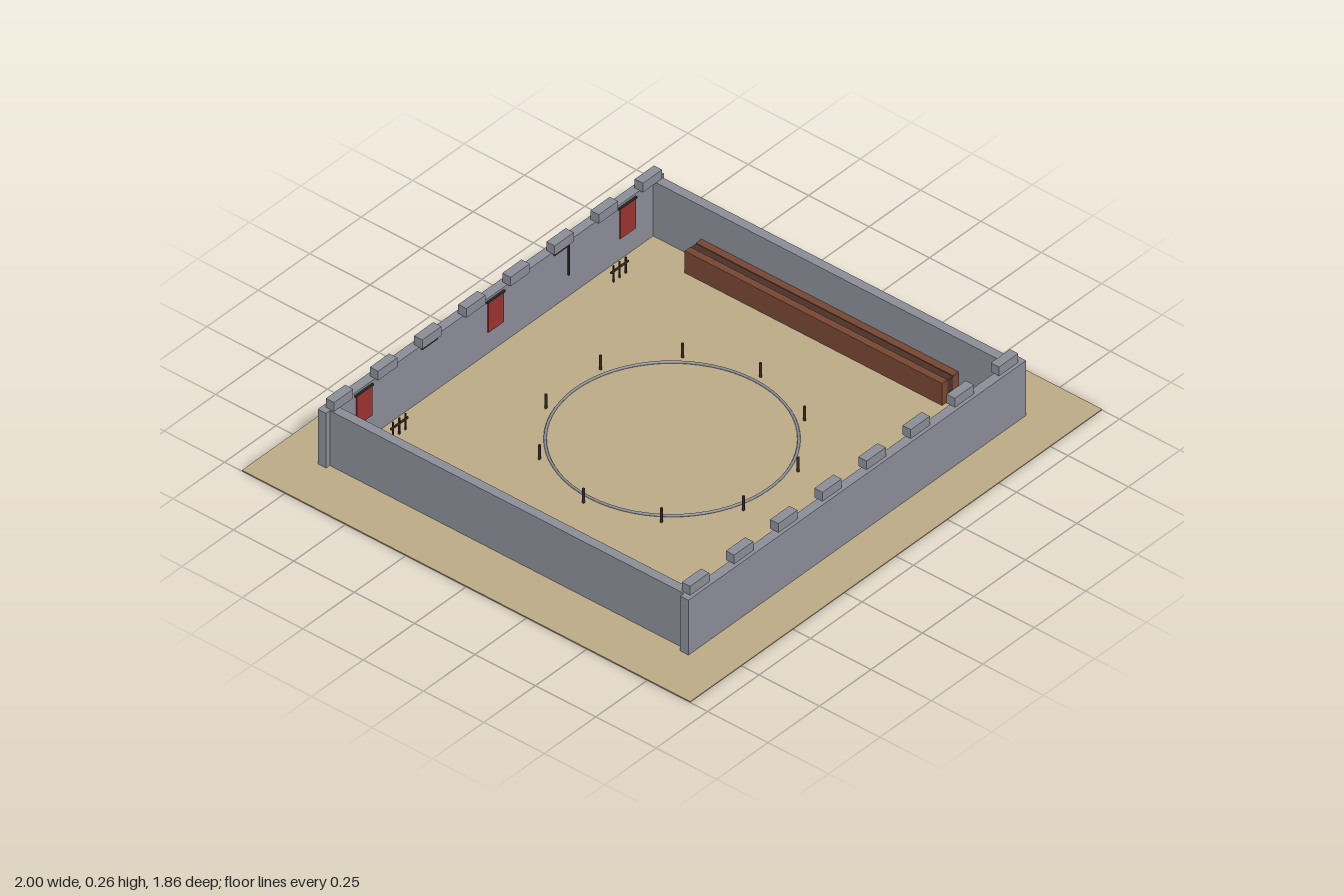
import * as THREE from 'three';

const mat = (name, color) => {
  const m = new THREE.MeshStandardMaterial({ color });
  m.name = name;
  return m;
};

export function createModel() {
  const root = new THREE.Group();
  root.name = 'trainingYard';
  const sand = mat('sand', 0xbcaa85);
  const stone = mat('stone', 0x8a8c96);
  const wood = mat('wood', 0x754632);
  const darkWood = mat('darkWood', 0x4a3026);
  const door = mat('doorWood', 0x7f522f);
  const iron = mat('darkIron', 0x352a26);
  const red = mat('redCloth', 0x9a3230);

  const group = (name, x = 0, y = 0, z = 0, parent = root) => {
    const g = new THREE.Group();
    g.name = name;
    g.position.set(x, y, z);
    parent.add(g);
    return g;
  };
  // Box given by its size and the centre of its base
  const box = (name, m, w, h, d, x, y, z, parent = root) => {
    const mesh = new THREE.Mesh(new THREE.BoxGeometry(w, h, d), m);
    mesh.name = name;
    mesh.position.set(x, y + h / 2, z);
    parent.add(mesh);
    return mesh;
  };

  // Ground
  box('ground', sand, 2, 0.004, 1.856, 0, 0, 0);

  // Walls, with battlements along the front and back
  for (const s of [-1, 1]) {
    box(s > 0 ? 'frontWall' : 'backWall', stone, 1.64, 0.218, 0.034, 0, 0.003, s * 0.75);
    box(s > 0 ? 'leftWall' : 'rightWall', stone, 0.034, 0.218, 1.5, s * 0.785, 0.003, 0);
    const battlements = group(s > 0 ? 'frontBattlements' : 'backBattlements');
    for (let i = 0; i < 8; i++) {
      box('merlon', stone, 0.093, 0.036, 0.034, -0.75 + i * 1.5 / 7, 0.22, s * 0.737, battlements);
    }
  }

  // Long benches along the side walls
  for (const s of [-1, 1]) {
    const bench = group(s > 0 ? 'leftBench' : 'rightBench');
    box('frontBoard', wood, 0.027, 0.088, 1.065, s * 0.7, 0.003, 0, bench);
    box('middleBoard', darkWood, 0.027, 0.085, 1.065, s * 0.727, 0.003, 0, bench);
    box('backBoard', wood, 0.027, 0.088, 1.065, s * 0.754, 0.003, 0, bench);
  }

  // Ring marking the fighting circle
  const ring = new THREE.Mesh(new THREE.TorusGeometry(0.4, 0.005, 6, 64), stone);
  ring.name = 'arenaRing';
  ring.rotation.x = -Math.PI / 2;
  ring.position.y = 0.007;
  root.add(ring);

  // Posts around the ring
  const posts = group('ringPosts');
  for (let i = 0; i < 10; i++) {
    const a = i * Math.PI / 5;
    const post = new THREE.Mesh(new THREE.CylinderGeometry(0.005, 0.005, 0.056, 6), iron);
    post.name = 'ringPost';
    post.position.set(0.43 * Math.cos(a), 0.031, 0.43 * Math.sin(a));
    posts.add(post);
  }

  // Gate on the inside of the front wall
  const gate = group('gate', 0, 0.003, 0.722);
  for (const s of [-1, 1]) box('gatePost', stone, 0.022, 0.16, 0.022, s * 0.08, 0, 0, gate);
  box('gateLintel', stone, 0.194, 0.024, 0.024, 0, 0.158, 0, gate);
  box('gateBacking', darkWood, 0.14, 0.158, 0.008, 0, 0, 0.006, gate);
  for (let i = -1; i <= 1; i++) {
    box('gatePlank', door, 0.032, 0.15, 0.006, i * 0.044, 0, -0.001, gate);
  }
  for (const y of [0.035, 0.115]) box('gateBand', iron, 0.138, 0.008, 0.004, 0, y, -0.004, gate);

  // Banners on the back wall
  for (const x of [-0.64, 0, 0.64]) {
    const banner = group('banner', x, 0, -0.729);
    box('bannerCloth', red, 0.075, 0.118, 0.004, 0, 0.09, 0, banner);
    box('bannerRod', iron, 0.086, 0.007, 0.007, 0, 0.206, 0, banner);
  }

  // Weapon racks in front of the back wall
  for (const s of [-1, 1]) {
    const rack = group('weaponRack', s * 0.535, 0.003, -0.673);
    box('rackRail', darkWood, 0.085, 0.006, 0.006, 0, 0.04, 0, rack);
    for (const x of [-0.03, 0, 0.03]) box('rackUpright', iron, 0.005, 0.065, 0.005, x, 0, 0, rack);
  }

  // Hanging bars under the back battlements
  for (const s of [-1, 1]) {
    box('hangingBar', iron, 0.075, 0.006, 0.006, s * 0.321, 0.207, -0.73);
  }
  box('hangingRod', iron, 0.005, 0.12, 0.005, 0.355, 0.09, -0.73);

  return root;
}
